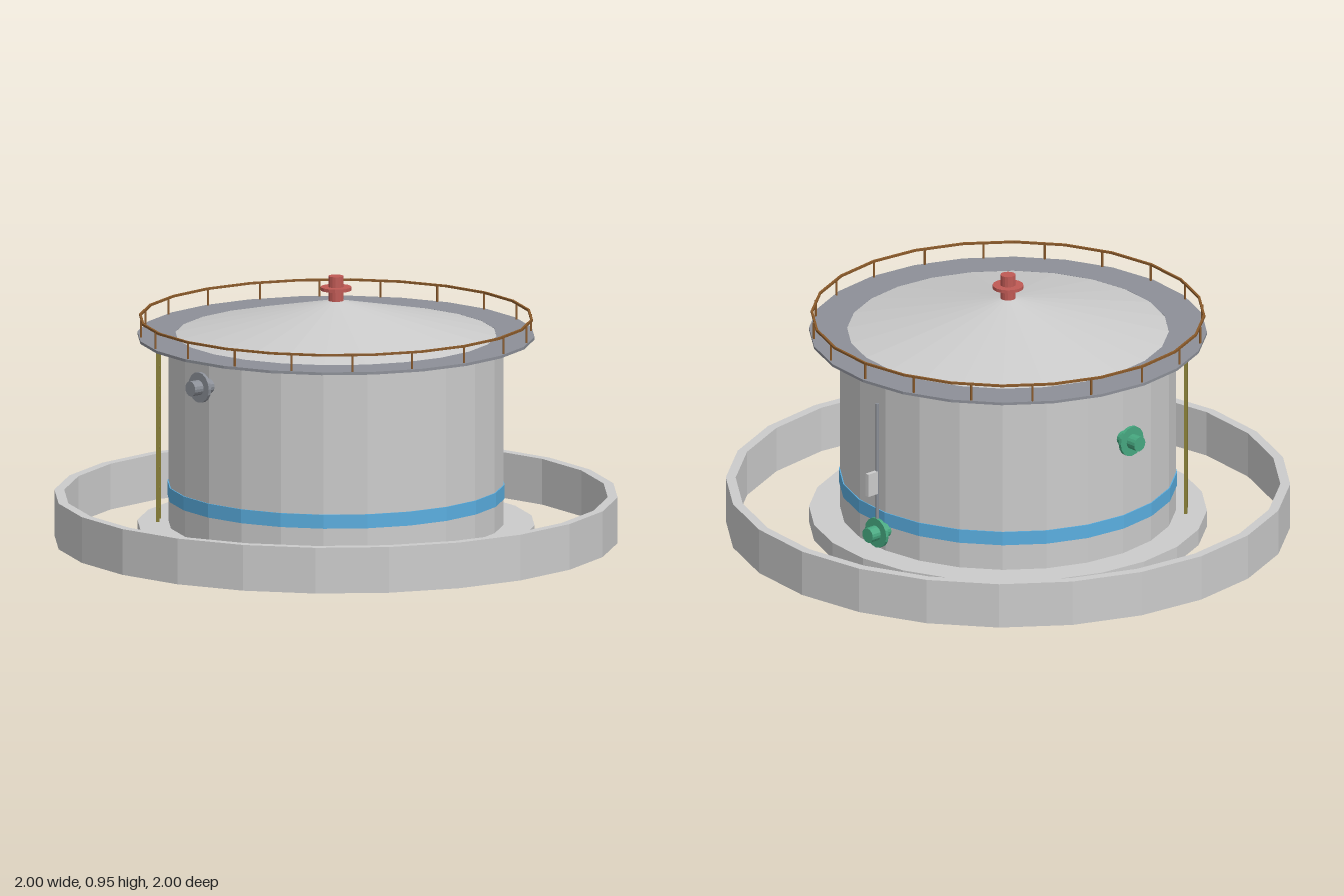
import * as THREE from 'three';

const SIDES = 24;
const mat = (color) => new THREE.MeshStandardMaterial({ color, flatShading: true });
const grey = mat(0xcccccc);
const deckGrey = mat(0x8d9098);
const steel = mat(0x8a8e96);
const blue = mat(0x5aaee0);
const red = mat(0xc05a55);
const green = mat(0x46a880);
const brown = mat(0x8a5a2a);
const olive = mat(0x8a8038);

function add(parent, name, geometry, material, x = 0, y = 0, z = 0) {
  const mesh = new THREE.Mesh(geometry, material);
  mesh.name = name;
  mesh.position.set(x, y, z);
  parent.add(mesh);
  return mesh;
}

// Ring with a rectangular section, closed all round
function ring(inner, outer, y0, y1) {
  const p = [[inner, y0], [outer, y0], [outer, y1], [inner, y1], [inner, y0]];
  return new THREE.LatheGeometry(p.map(([r, y]) => new THREE.Vector2(r, y)), SIDES);
}

// Short pipe with a flange, running along +y from its origin
function nozzle(name, material) {
  const g = new THREE.Group();
  g.name = name;
  add(g, 'pipe', new THREE.CylinderGeometry(0.027, 0.027, 0.1, 16), material, 0, 0.05, 0);
  add(g, 'flange', new THREE.CylinderGeometry(0.055, 0.055, 0.012, 16), material, 0, 0.055, 0);
  return g;
}

export function createModel() {
  const model = new THREE.Group();
  model.name = 'storageTank';

  // Containment wall and foundation
  add(model, 'containmentWall', ring(0.965, 1, 0, 0.165), grey);
  add(model, 'foundationRing', ring(0.572, 0.705, 0, 0.06), grey);

  // Shell, painted band and cone roof
  add(model, 'shell', new THREE.CylinderGeometry(0.595, 0.595, 0.675, SIDES), grey, 0, 0.3975, 0);
  add(model, 'band', ring(0.59, 0.599, 0.155, 0.205), blue);
  add(model, 'roof', new THREE.ConeGeometry(0.595, 0.133, SIDES), grey, 0, 0.8005, 0);

  // Walkway with railing
  add(model, 'walkway', ring(0.57, 0.705, 0.73, 0.74), deckGrey);
  const railing = new THREE.Group();
  railing.name = 'railing';
  model.add(railing);
  add(railing, 'topRail', ring(0.691, 0.699, 0.796, 0.804), brown);
  const postCount = 20;
  const post = new THREE.CylinderGeometry(0.004, 0.004, 0.064, 6);
  for (let i = 0; i < postCount; i++) {
    const a = (i / postCount) * Math.PI * 2;
    add(railing, 'post', post, brown, Math.sin(a) * 0.693, 0.769, Math.cos(a) * 0.693);
  }

  // Roof vent and shell nozzles
  const vent = nozzle('roofVent', red);
  vent.position.y = 0.85;
  model.add(vent);

  const overflow = nozzle('overflowNozzle', steel);
  overflow.position.set(-0.582, 0.63, 0);
  overflow.rotation.z = Math.PI / 2;
  model.add(overflow);

  const inlet = nozzle('inletNozzle', green);
  inlet.position.set(0, 0.5, -0.582);
  inlet.rotation.x = -Math.PI / 2;
  model.add(inlet);

  const outlet = nozzle('outletNozzle', green);
  outlet.position.set(0.582, 0.14, 0);
  outlet.rotation.z = -Math.PI / 2;
  model.add(outlet);

  // Level gauge
  add(model, 'gaugePole', new THREE.CylinderGeometry(0.007, 0.007, 0.48, 8), steel, 0.635, 0.39, 0);
  add(model, 'gaugeBox', new THREE.BoxGeometry(0.045, 0.085, 0.016), grey, 0.662, 0.332, 0);

  // Ladder between the inlet and overflow sides
  const ladder = new THREE.Group();
  ladder.name = 'ladder';
  ladder.rotation.y = Math.PI * 1.25;
  model.add(ladder);
  const rail = new THREE.BoxGeometry(0.01, 0.675, 0.012);
  for (const s of [-1, 1]) add(ladder, 'ladderRail', rail, olive, s * 0.03, 0.3975, 0.63);
  const rung = new THREE.BoxGeometry(0.06, 0.008, 0.008);
  for (let i = 0; i < 9; i++) add(ladder, 'rung', rung, olive, 0, 0.1 + i * 0.073, 0.63);

  return model;
}
